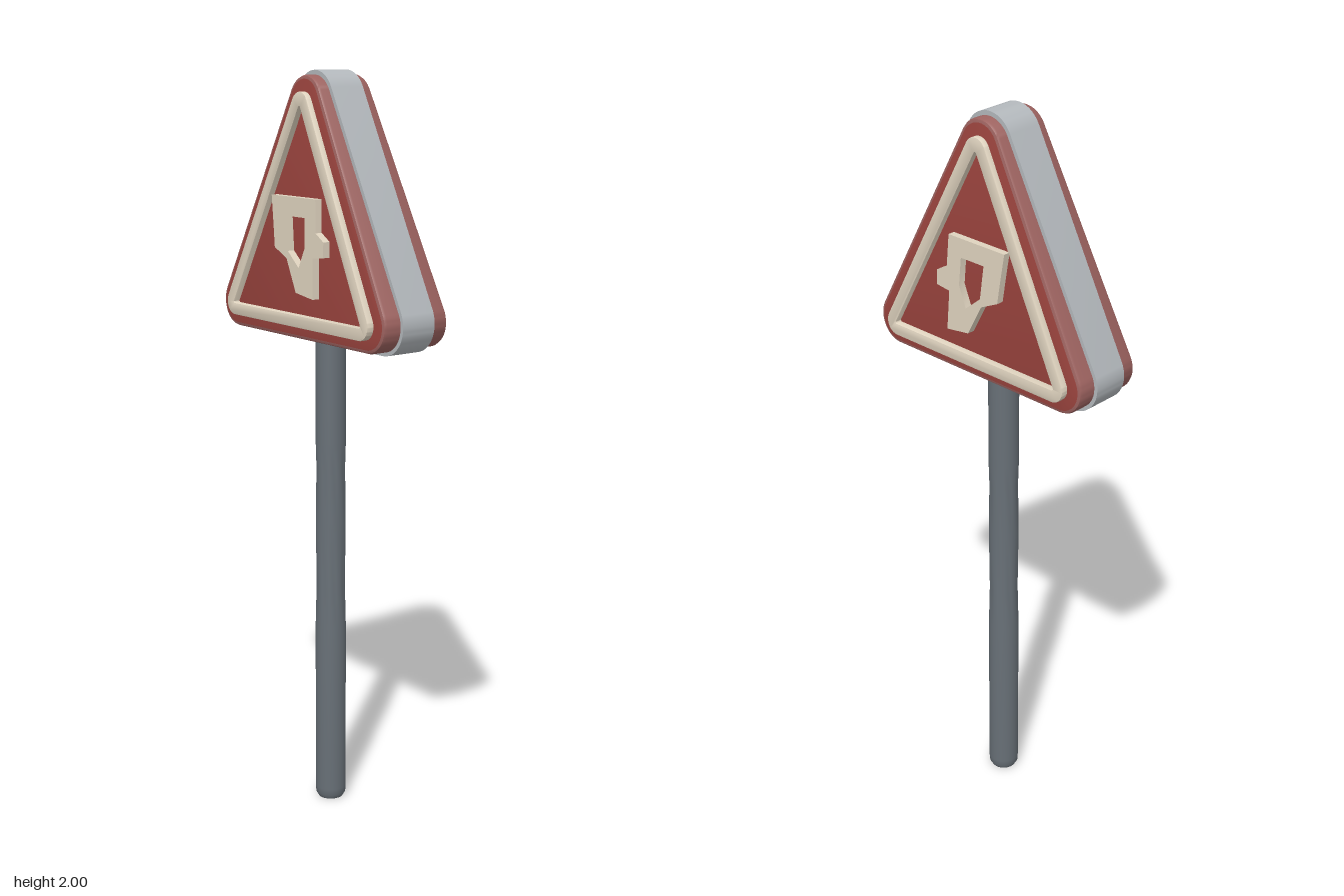
import * as THREE from 'three';
import { toCreasedNormals } from 'three/addons/utils/BufferGeometryUtils.js';

const mat = (name, color) => {
  const m = new THREE.MeshStandardMaterial({ color });
  m.name = name;
  return m;
};

// Triangle with rounded corners: corner centres (+-w, base) and (0, top), radius r
function roundedTriangle(path, w, base, top, r) {
  const a = Math.atan2(w, top - base);
  path.absarc(w, base, r, -Math.PI / 2, a, false);
  path.absarc(0, top, r, a, Math.PI - a, false);
  path.absarc(-w, base, r, Math.PI - a, Math.PI * 1.5, false);
  path.closePath();
  return path;
}

// Extrude between z0 and z1, thin it towards the apex and turn it slightly
function slab(shape, z0, z1, bevel, taper) {
  const geo = new THREE.ExtrudeGeometry(shape, {
    depth: z1 - z0 - 2 * bevel, bevelEnabled: bevel > 0, bevelThickness: bevel,
    bevelSize: bevel, bevelOffset: -bevel, bevelSegments: 2, curveSegments: 10,
  });
  geo.translate(0, 0, z0 + bevel);
  const p = geo.attributes.position;
  for (let i = 0; i < p.count; i++) {
    const s = 1 - taper * (p.getY(i) - 1.33) / 0.67;
    p.setZ(i, p.getZ(i) * s + 0.04 * p.getX(i));
  }
  return toCreasedNormals(geo, 0.6);
}

export function createModel() {
  const group = new THREE.Group();
  const red = mat('sign red', 0x9b443e);
  const pink = mat('faded red edge', 0x9c625f);
  const cream = mat('cream', 0xded2be);
  const silver = mat('light grey rim', 0xb4b9bd);
  const steel = mat('pole grey', 0x687077);

  const add = (name, geo, material) => {
    const mesh = new THREE.Mesh(geo, material);
    mesh.name = name;
    group.add(mesh);
  };

  // Pole with a slightly rounded foot
  const profile = [[0, 0], [0.034, 0], [0.041, 0.012], [0.042, 0.03], [0.042, 0.5],
    [0.039, 0.62], [0.041, 0.8], [0.039, 0.95], [0.041, 1.02], [0.041, 1.33]];
  const pole = new THREE.LatheGeometry(profile.map(([x, y]) => new THREE.Vector2(x, y)), 24);
  add('pole', toCreasedNormals(pole, 0.7), steel);

  // Grey rim band around the middle and the red body on both sides of it
  const rim = roundedTriangle(new THREE.Shape(), 0.29, 1.38, 1.92, 0.08);
  add('rimBand', slab(rim, -0.052, 0.052, 0, 0), silver);
  const body = roundedTriangle(new THREE.Shape(), 0.29, 1.38, 1.918, 0.07);
  add('signBody', slab(body, -0.106, 0.106, 0.01, 0.2), [red, pink]);

  // Raised triangular border
  const border = roundedTriangle(new THREE.Shape(), 0.28, 1.38, 1.91, 0.036);
  border.holes.push(roundedTriangle(new THREE.Path(), 0.28, 1.38, 1.905, 0.004));

  // Raised pictogram with an opening
  const pts = (list) => list.map(([x, y]) => new THREE.Vector2(x, y));
  const symbol = new THREE.Shape(pts([
    [-0.11, 1.68], [-0.1, 1.615], [-0.09, 1.545], [-0.035, 1.52], [0.01, 1.435],
    [0.085, 1.425], [0.08, 1.53], [0.125, 1.535], [0.125, 1.575], [0.09, 1.595], [0.085, 1.68],
  ]));
  symbol.holes.push(new THREE.Path(pts([
    [-0.04, 1.63], [0.04, 1.63], [0.045, 1.555], [0.02, 1.5], [-0.03, 1.54],
  ])));

  // Same relief on front and back
  for (const [side, dir] of [['front', 1], ['back', -1]]) {
    const relief = (shape, h, bevel) =>
      slab(shape, dir > 0 ? 0.08 : -h, dir > 0 ? h : -0.08, bevel, 0.2);
    add(side + 'Border', relief(border, 0.126, 0.003), cream);
    add(side + 'Symbol', relief(symbol, 0.128, 0), cream);
  }
  return group;
}
